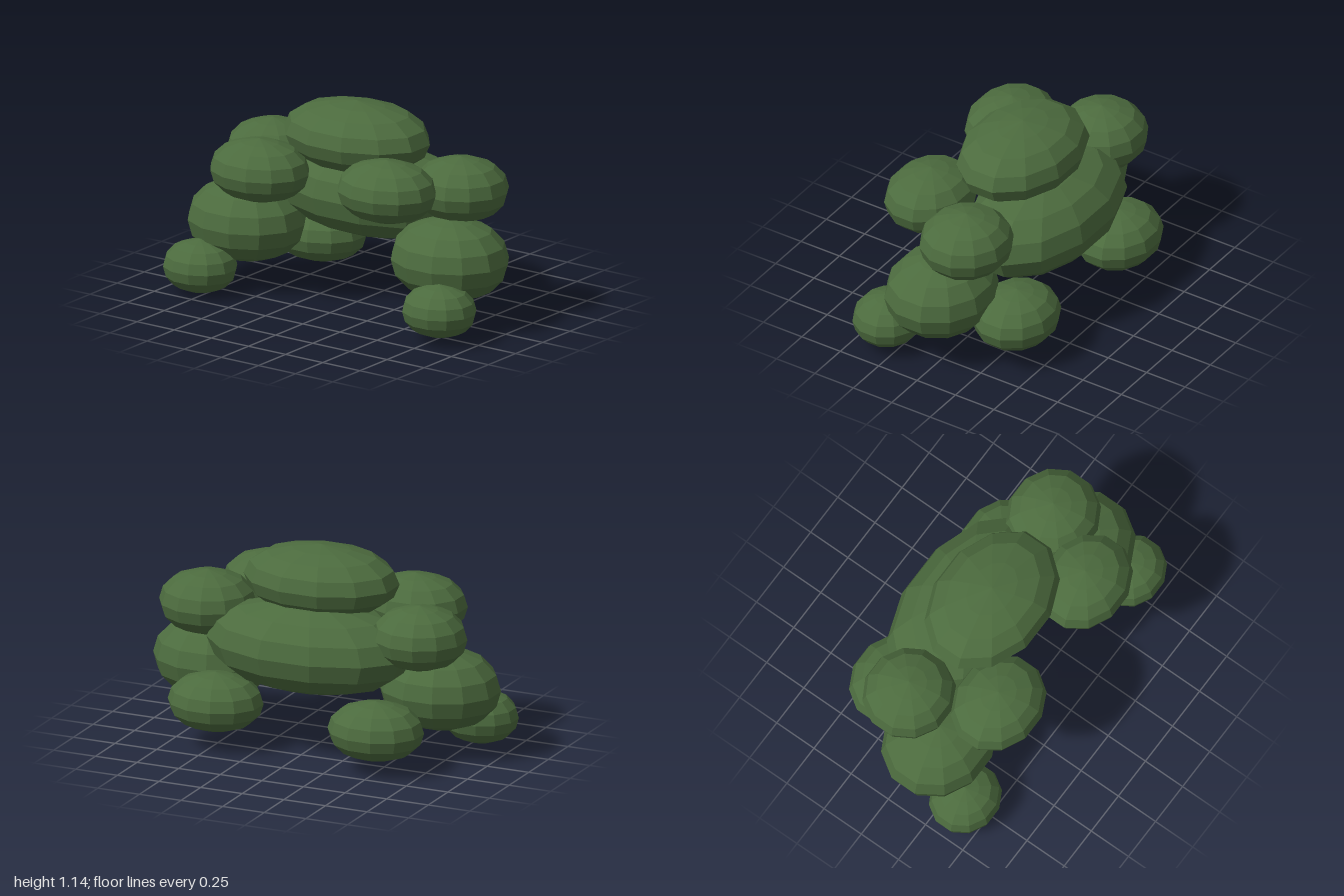
import * as THREE from 'three';

export function createModel() {
  const group = new THREE.Group();
  const leafGreen = new THREE.MeshStandardMaterial({ color: 0x4c6b3e });
  leafGreen.flatShading = true;

  // Faceted clump: 12 sides, slightly pointed poles, flats facing x and z
  const profile = [
    [0, -1], [0.383, -0.885], [0.707, -0.707], [0.924, -0.383], [1, 0],
    [0.924, 0.383], [0.707, 0.707], [0.383, 0.885], [0, 1],
  ].map(([r, y]) => new THREE.Vector2(r, y));
  const clump = new THREE.LatheGeometry(profile, 12, Math.PI / 12, Math.PI * 2);
  const flat = Math.cos(Math.PI / 12); // distance from axis to a flat side

  // name, centre, half extents
  const clumps = [
    ['crownClump', [-0.015, 0.943, -0.02], [0.43, 0.198, 0.31]],
    ['bodyClump', [-0.015, 0.605, -0.165], [0.58, 0.265, 0.347]],
    ['rightUpperFrontClump', [-0.422, 0.757, 0.32], [0.282, 0.178, 0.236]],
    ['leftUpperFrontClump', [0.415, 0.783, 0.294], [0.281, 0.178, 0.234]],
    ['rightUpperRearClump', [-0.65, 0.722, -0.115], [0.255, 0.183, 0.245]],
    ['leftUpperRearClump', [0.638, 0.745, -0.083], [0.262, 0.183, 0.247]],
    ['rightMiddleClump', [-0.67, 0.376, 0.1], [0.33, 0.235, 0.292]],
    ['leftMiddleClump', [0.668, 0.388, 0.06], [0.33, 0.235, 0.292]],
    ['rightLowerFrontClump', [-0.79, 0.153, 0.365], [0.205, 0.152, 0.187]],
    ['leftLowerFrontClump', [0.79, 0.179, 0.324], [0.205, 0.15, 0.187]],
    ['rightLowerRearClump', [-0.488, 0.232, -0.333], [0.262, 0.168, 0.225]],
    ['leftLowerRearClump', [0.485, 0.259, -0.31], [0.26, 0.168, 0.224]],
  ];
  for (const [name, centre, half] of clumps) {
    const mesh = new THREE.Mesh(clump, leafGreen);
    mesh.name = name;
    mesh.position.set(...centre);
    mesh.scale.set(half[0] / flat, half[1], half[2] / flat);
    group.add(mesh);
  }
  return group;
}
